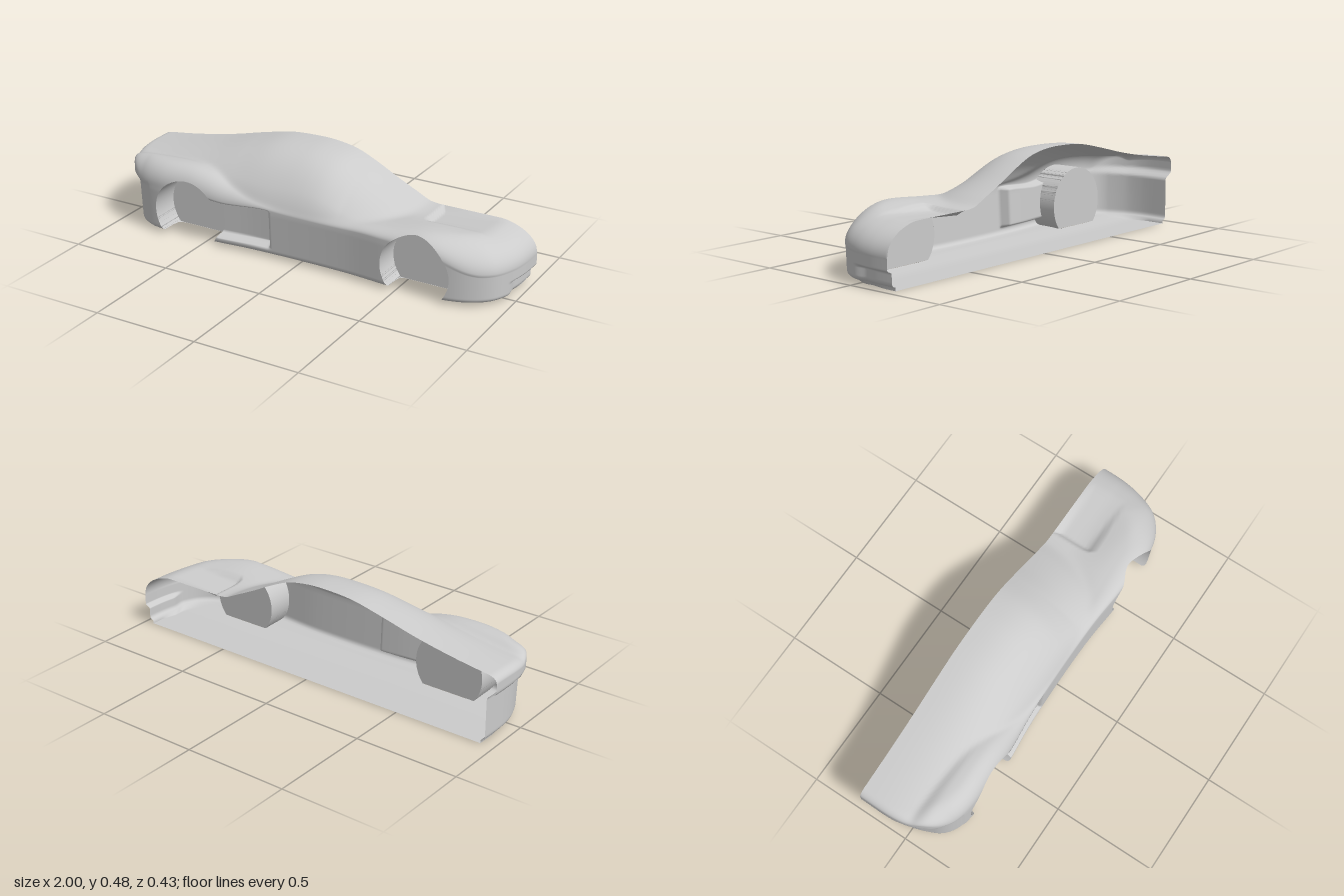
import * as THREE from 'three';
import { mergeVertices } from 'three/addons/utils/BufferGeometryUtils.js';

const CENTRE = -0.215; // cut plane of the half body
const WELL_Z = 0.06; // inner wall of the wheel wells
const wheels = [
  { name: 'rearWheelWell', x: -0.587, y: 0.12, r: 0.175 },
  { name: 'frontWheelWell', x: 0.597, y: 0.12, r: 0.167 },
];
const material = new THREE.MeshStandardMaterial({ color: 0xcccccc, side: THREE.DoubleSide });
const { lerp, clamp, smoothstep } = THREE.MathUtils;

// Smooth height curve through [x, y] points, sampled by x
function heightCurve(points) {
  const pts = points.map(([x, y]) => new THREE.Vector2(x, y));
  const table = new THREE.SplineCurve(pts).getPoints(300);
  return (x) => {
    if (x <= table[0].x) return table[0].y;
    const i = table.findIndex((p) => p.x >= x);
    if (i < 0) return table[300].y;
    const a = table[i - 1], b = table[i];
    return lerp(a.y, b.y, (x - a.x) / (b.x - a.x));
  };
}

const roofLine = heightCurve([[-1, 0.328], [-0.8, 0.355], [-0.6, 0.392], [-0.4, 0.441], [-0.25, 0.472],
  [-0.1, 0.48], [0, 0.475], [0.1, 0.455], [0.2, 0.412], [0.3, 0.36], [0.4, 0.312], [0.49, 0.272], [0.6, 0.255], [1, 0.25]]);
const fenderLine = heightCurve([[-1, 0.325], [-0.9, 0.34], [-0.65, 0.355], [-0.5, 0.343], [-0.35, 0.302],
  [-0.22, 0.277], [-0.05, 0.266], [0.2, 0.266], [0.4, 0.278], [0.6, 0.296], [0.75, 0.292], [0.9, 0.28], [1, 0.27]]);

// Plan outline from the tail centre, along the flank, to the nose centre
const outline = new THREE.SplineCurve([[-1, CENTRE], [-1, -0.06], [-0.98, 0.04], [-0.93, 0.13], [-0.85, 0.185],
  [-0.74, 0.21], [-0.6, 0.209], [-0.45, 0.205], [-0.25, 0.188], [0, 0.181], [0.25, 0.184], [0.45, 0.2], [0.6, 0.207],
  [0.74, 0.201], [0.85, 0.165], [0.93, 0.1], [0.975, 0], [0.995, -0.1], [1, CENTRE]].map(([x, z]) => new THREE.Vector2(x, z)));
outline.arcLengthDivisions = 1000;
const U = 300;
const rim = outline.getSpacedPoints(U);

function edgeDistance(x, z) {
  let best = 9;
  for (let i = 0; i < U; i++) {
    const a = rim[i], dx = rim[i + 1].x - a.x, dz = rim[i + 1].y - a.y;
    const t = clamp(((x - a.x) * dx + (z - a.y) * dz) / (dx * dx + dz * dz), 0, 1);
    best = Math.min(best, (x - a.x - t * dx) ** 2 + (z - a.y - t * dz) ** 2);
  }
  return Math.sqrt(best);
}

// Upper surface: cabin and fenders blended, with rounded shoulders
function topHeight(x, z) {
  const across = (z - CENTRE) / 0.4;
  const rake = x > 0 ? 0.12 * across ** 2 * Math.min(1, x / 0.2) : 0;
  const cabin = lerp(0.25, roofLine(x + rake), 1 - across ** 3);
  const low = lerp(0.25, 0.272, smoothstep(x, 0.3, 0.5));
  const fender = lerp(low, fenderLine(x), smoothstep(z, -0.1, 0.1));
  const k = 0.012, gap = Math.max(k - Math.abs(cabin - fender), 0) / k;
  const crown = Math.max(cabin, fender) + gap * gap * k / 4;
  // shoulder width and drop along the car
  const nose = smoothstep(x, 0.6, 0.9), tail = 1 - smoothstep(x, -0.98, -0.85);
  const rear = 1 - smoothstep(x, -0.5, -0.15), front = smoothstep(x, 0.3, 0.6);
  let w = 0.055 + 0.035 * Math.max(rear, front), h = 0.03 + 0.07 * rear + 0.02 * front;
  w = lerp(lerp(w, 0.2, nose), 0.04, tail);
  h = lerp(lerp(h, 0.13, nose), 0.028, tail);
  const t = clamp(1 - edgeDistance(x, z) / w, 0, 1);
  // hood vent: steep rear lip fading out towards the nose
  const vent = smoothstep(x, 0.54, 0.555) * clamp((0.86 - x) / 0.3, 0, 1)
    * smoothstep(z, -0.205, -0.188) * (1 - smoothstep(z, -0.03, -0.01));
  return crown - h * (1 - Math.sqrt(1 - t * t)) - 0.021 * vent;
}

// How far the wall sits inside the plan outline
function wallInset(p, n, y) {
  let inset = 0.012 * Math.abs(n.y) * clamp(1 - y / 0.22, 0, 1);
  const b = clamp((0.037 - y) / 0.022, 0, 1);
  inset += 0.02 * (1 - Math.sqrt(1 - b * b)); // rounded sill
  if (p.x < -0.8) inset += 0.045 * n.x ** 2 * (1 - smoothstep(y, 0.22, 0.255)); // under the tail lip
  if (p.x > 0.9) inset += 0.025 * (1 - smoothstep(y, 0.075, 0.09)) * (1 - smoothstep(p.y, -0.06, 0.02)); // nose lip
  const intake = smoothstep(p.x, -0.5, -0.47) * (1 - smoothstep(p.x, -0.165, -0.145))
    * smoothstep(y, 0.045, 0.062) * (1 - smoothstep(y, 0.238, 0.254));
  return inset + 0.05 * intake;
}

// One rib: upper surface, wall, floor
function rib(i) {
  const TOP = 34, WALL = 32, FLOOR = 12, pts = [];
  const p = rim[i], t = outline.getTangentAt(i / U), n = new THREE.Vector2(t.y, -t.x);
  const cx = lerp(-1, 1, i / U);
  for (let j = 0; j <= TOP; j++) {
    const s = 1 - (1 - j / TOP) ** 2;
    const x = lerp(cx, p.x, s), z = lerp(CENTRE, p.y, s);
    pts.push(new THREE.Vector3(x, topHeight(x, z), z));
  }
  const yEdge = pts[TOP].y;
  for (let j = 1; j <= WALL; j++) {
    const y = lerp(yEdge, 0.015, 1 - (1 - j / WALL) ** 1.15);
    const d = wallInset(p, n, y);
    pts.push(new THREE.Vector3(p.x + n.x * d, y, Math.max(CENTRE, p.y + n.y * d)));
  }
  const e = pts[pts.length - 1];
  for (let j = 1; j <= FLOOR; j++) {
    const s = j / FLOOR, z = lerp(e.z, CENTRE, s);
    pts.push(new THREE.Vector3(lerp(e.x, clamp(cx, -0.925, 0.95), s), 0.015 * smoothstep(z, -0.05, 0.14), z));
  }
  return pts;
}

function surface(name, positions) {
  const g = new THREE.BufferGeometry();
  g.setAttribute('position', new THREE.Float32BufferAttribute(positions, 3));
  const merged = mergeVertices(g, 1e-5);
  merged.computeVertexNormals();
  const mesh = new THREE.Mesh(merged, material);
  mesh.name = name;
  return mesh;
}

const pushTri = (out, a, b, c) => { for (const v of [a, b, c]) out.push(v.x, v.y, v.z); };

// Cuts a triangle by a wheel opening; each cut edge is carried inwards as the arch wall
function cutTriangle(tri, wheel, out, arch) {
  const f = tri.map((v) => Math.min(wheel.r - Math.hypot(v.x - wheel.x, v.y - wheel.y), v.z - WELL_Z));
  const kept = [], cuts = [];
  for (let i = 0; i < 3; i++) {
    const j = (i + 1) % 3;
    if (f[i] <= 0) kept.push(tri[i]);
    if ((f[i] <= 0) !== (f[j] <= 0)) {
      const c = tri[i].clone().lerp(tri[j], f[i] / (f[i] - f[j]));
      kept.push(c);
      cuts.push(c);
    }
  }
  for (let i = 2; i < kept.length; i++) pushTri(out, kept[0], kept[i - 1], kept[i]);
  if (cuts.length === 2) {
    const [a, b] = cuts, a2 = a.clone().setZ(WELL_Z), b2 = b.clone().setZ(WELL_Z);
    pushTri(arch, a, b, b2);
    pushTri(arch, a, b2, a2);
  }
}

export function createModel() {
  const model = new THREE.Group();
  model.name = 'halfCarBody';
  const ribs = Array.from({ length: U + 1 }, (_, i) => rib(i));
  const body = [], arches = wheels.map(() => []);
  for (let i = 0; i < U; i++) {
    for (let j = 0; j < ribs[0].length - 1; j++) {
      const a = ribs[i][j], b = ribs[i][j + 1], c = ribs[i + 1][j + 1], d = ribs[i + 1][j];
      const side = (a.x + c.x) / 2 < 0 ? 0 : 1;
      for (const tri of [[a, b, c], [a, c, d]]) cutTriangle(tri, wheels[side], body, arches[side]);
    }
  }
  model.add(surface('bodyShell', body));

  // Wheel wells: arch wall and flat inner wall
  wheels.forEach((wheel, k) => {
    const well = new THREE.Group();
    well.name = wheel.name;
    const a = Math.asin((0.01 - wheel.y) / wheel.r);
    const shape = new THREE.Shape().absarc(wheel.x, wheel.y, wheel.r, a, Math.PI - a, false);
    const inner = new THREE.Mesh(new THREE.ShapeGeometry(shape, 48), material);
    inner.position.z = WELL_Z;
    inner.name = 'wellInnerWall';
    well.add(surface('wellArch', arches[k]), inner);
    model.add(well);
  });
  return model;
}
